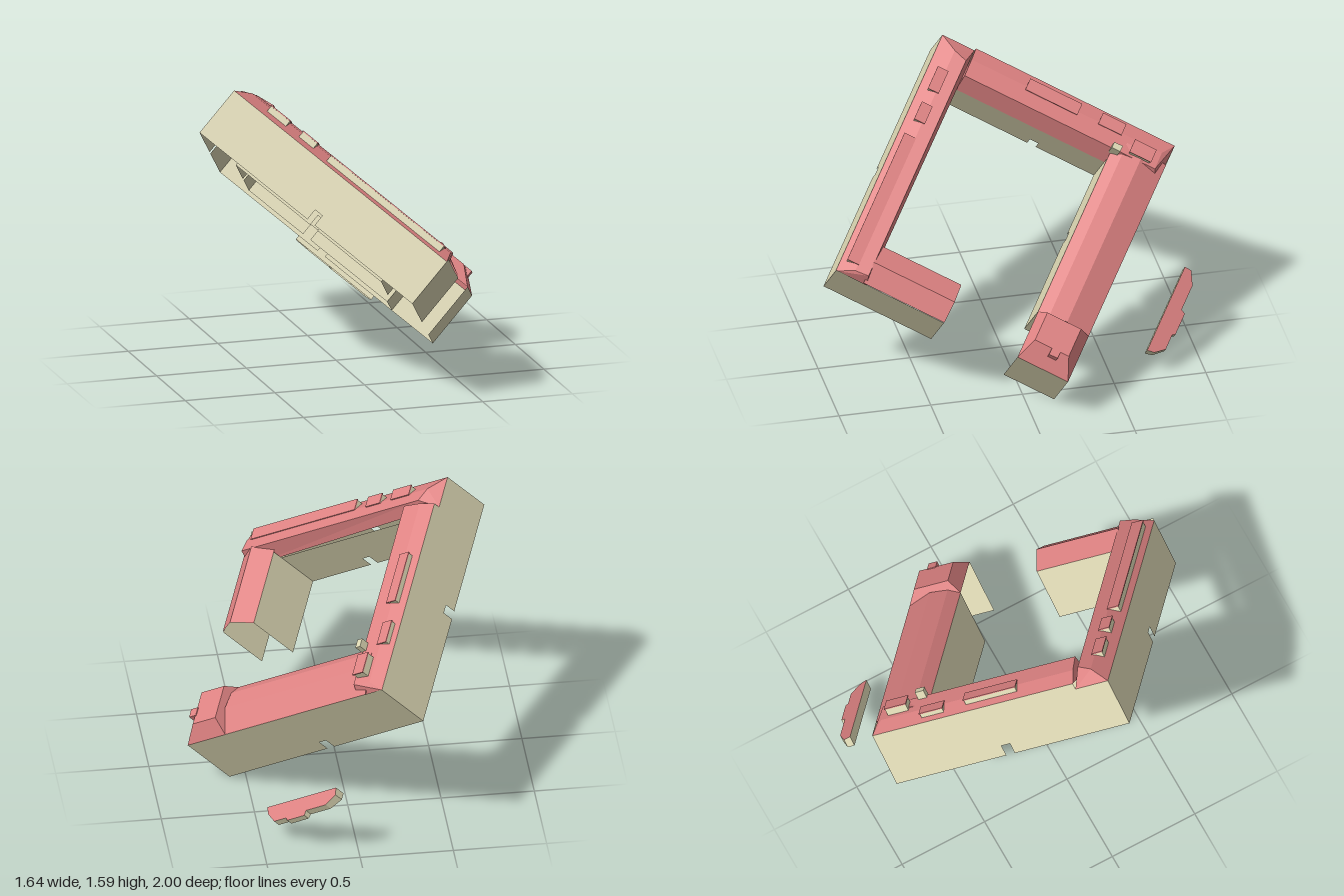
import * as THREE from 'three';

const wallMat = new THREE.MeshStandardMaterial({ color: 0xdcd7b3, side: THREE.DoubleSide });
wallMat.name = 'cream wall';
const roofMat = new THREE.MeshStandardMaterial({ color: 0xdf8383, side: THREE.DoubleSide });
roofMat.name = 'red roof';

// Plan coordinates: a along the front, b towards the back, h up.
const P = (a, h, b) => new THREE.Vector3(a, h, -b);

function addMesh(group, name, geometry, material) {
  geometry.computeVertexNormals();
  const mesh = new THREE.Mesh(geometry, material);
  mesh.name = name;
  group.add(mesh);
  return mesh;
}

// Flat polygons, each a convex list of points, split into fans
function faces(group, name, polys, material) {
  const pts = [];
  for (const p of polys)
    for (let i = 1; i < p.length - 1; i++) pts.push(p[0], p[i], p[i + 1]);
  return addMesh(group, name, new THREE.BufferGeometry().setFromPoints(pts), material);
}

// Roof skin between two matching profiles, with optional gable ends
function roof(group, name, start, end, gables = [true, true]) {
  const polys = [];
  for (let i = 0; i < start.length - 1; i++) polys.push([start[i], start[i + 1], end[i + 1], end[i]]);
  if (gables[0]) polys.push([...start].reverse());
  if (gables[1]) polys.push(end);
  return faces(group, name, polys, roofMat);
}

// Upright wall from one plan point to another, with an optional passage cut into its foot
function wall(group, name, [a0, b0], [a1, b1], top, gate) {
  const length = Math.hypot(a1 - a0, b1 - b0);
  const s = new THREE.Shape().moveTo(0, 0);
  if (gate !== undefined) {
    s.lineTo(gate - 0.025, 0).lineTo(gate - 0.025, 0.065);
    s.lineTo(gate + 0.025, 0.065).lineTo(gate + 0.025, 0);
  }
  s.lineTo(length, 0).lineTo(length, top).lineTo(0, top);
  const g = new THREE.ShapeGeometry(s);
  const pos = g.attributes.position;
  for (let i = 0; i < pos.count; i++) {
    const t = pos.getX(i) / length;
    const p = P(a0 + (a1 - a0) * t, pos.getY(i), b0 + (b1 - b0) * t);
    pos.setXYZ(i, p.x, p.y, p.z);
  }
  return addMesh(group, name, g, wallMat);
}

function block(group, name, [a0, a1], [h0, h1], [b0, b1], material) {
  const mesh = addMesh(group, name, new THREE.BoxGeometry(a1 - a0, h1 - h0, b1 - b0), material);
  mesh.position.copy(P((a0 + a1) / 2, (h0 + h1) / 2, (b0 + b1) / 2));
  return mesh;
}

export function createModel() {
  const model = new THREE.Group();
  model.name = 'courtyardBlock';
  const g = new THREE.Group();
  g.name = 'tiltedBlock';
  model.add(g);

  const L = 1.47, D = 1.37;          // overall plan size
  const fw = 0.19, lw = 0.23;        // front and left wing depth
  const sw = 1.235, se = 0.64;       // short wing inner side and end
  const bw = 1.07, ea = 1.186;       // back wing inner side, end house start

  // Outer walls
  wall(g, 'frontWall', [0, 0], [L, 0], 0.29, 0.77);
  wall(g, 'leftWallFrontPart', [0, 0], [0, fw], 0.29);
  wall(g, 'leftWall', [0, fw], [0, D], 0.327, 0.7 - fw);
  wall(g, 'backWall', [0, D], [L, D], 0.33, 0.7);
  wall(g, 'endHouseWall', [L, bw], [L, D], 0.33);
  wall(g, 'shortWingWall', [L, 0], [L, se], 0.305);

  // Courtyard walls
  wall(g, 'frontCourtWall', [lw, fw], [sw, fw], 0.25, 0.77 - lw);
  wall(g, 'leftCourtWall', [lw, fw], [lw, bw], 0.25, 0.7 - fw);
  wall(g, 'backCourtWall', [lw, bw], [ea, bw], 0.33, 0.4);
  wall(g, 'shortWingCourtWall', [sw, fw], [sw, se], 0.31);
  wall(g, 'partyWall', [ea, bw], [ea, D], 0.33);

  // Front wing roof, hipped at the left corner
  roof(g, 'frontRoof',
    [P(0, 0.29, 0), P(0.07, 0.345, 0.09), P(0.1, 0.36, 0.165), P(0, 0.29, fw)],
    [P(L, 0.29, 0), P(L - 0.03, 0.345, 0.09), P(L - 0.03, 0.36, 0.165), P(L, 0.25, fw)]);

  // Left wing roof, steep on the courtyard side
  const left = (b, db) => [P(0, 0.327, b), P(0.08, 0.36, b - db), P(0.185, 0.375, b - db), P(lw, 0.25, b)];
  roof(g, 'leftRoof', left(fw, 0), left(D, 0.05));

  // Short wing roof, a plain low gable
  const short = b => [P(sw, 0.31, b), P(1.36, 0.367, b), P(L, 0.31, b)];
  roof(g, 'shortWingRoof', short(0.16), short(se), [true, false]);

  // Back wing roof with a bent slope
  const back = a => [P(a, 0.33, bw), P(a, 0.367, 1.13), P(a, 0.38, 1.23), P(a, 0.33, D)];
  roof(g, 'backRoof', back(0.12), back(ea));

  // End house roof: steep sides and a flat top
  const ring = (a0, a1, b0, b1, h) => [P(a0, h, b0), P(a1, h, b0), P(a1, h, b1), P(a0, h, b1)];
  const low = ring(ea, L, bw, D, 0.33), high = ring(1.2, 1.37, 1.11, 1.31, 0.415);
  const slopes = low.map((p, i) => [p, low[(i + 1) % 4], high[(i + 1) % 4], high[i]]);
  faces(g, 'endHouseRoof', [...slopes, high], roofMat);
  block(g, 'endHouseVent', [1.36, 1.41], [0.36, 0.42], [1.21, 1.26], roofMat);

  // Dormers and low roof lights
  const dormers = [
    ['frontDormer', [0.2, 0.33], [0.3, 0.352], [0.045, 0.1]],
    ['frontDormer', [0.42, 0.52], [0.3, 0.352], [0.045, 0.1]],
    ['frontDormer', [0.62, 1.4], [0.3, 0.345], [0.03, 0.09]],
    ['leftDormer', [0.04, 0.1], [0.33, 0.372], [0.52, 0.82]],
    ['leftDormer', [0.03, 0.09], [0.33, 0.365], [0.95, 1.08]],
    ['cornerDormer', [0.1, 0.17], [0.35, 0.405], [1.16, 1.28]],
  ];
  for (const [name, a, h, b] of dormers) {
    block(g, name, a, h, b, wallMat);
    block(g, name + 'Roof', [a[0] - 0.004, a[1] + 0.004], [h[1], h[1] + 0.006], [b[0] - 0.004, b[1] + 0.004], roofMat);
  }
  block(g, 'chimney', [0.165, 0.2], [0.33, 0.42], [1.06, 1.11], wallMat);

  // Detached low shed with a stepped outer edge and a sloping roof
  const plan = [[0.49, 1.71], [1.01, 1.71], [1.0, 1.75], [0.95, 1.8], [0.86, 1.8], [0.85, 1.815],
    [0.72, 1.815], [0.71, 1.79], [0.56, 1.79], [0.49, 1.75]];
  const shedTop = b => 0.06 - (b - 1.71) * 0.25;
  const shedRoof = new THREE.ShapeGeometry(new THREE.Shape(plan.map(p => new THREE.Vector2(...p))));
  const pos = shedRoof.attributes.position;
  for (let i = 0; i < pos.count; i++) {
    const b = pos.getY(i);
    pos.setXYZ(i, pos.getX(i), shedTop(b), -b);
  }
  addMesh(g, 'shedRoof', shedRoof, roofMat);
  faces(g, 'shedWalls', plan.map(([a, b], i) => {
    const [c, d] = plan[(i + 1) % plan.length];
    return [P(a, 0, b), P(c, 0, d), P(c, shedTop(d), d), P(a, shedTop(b), b)];
  }), wallMat);

  // Tilt the whole block into place
  const u = new THREE.Vector3(0.635, -0.551, 0.541).normalize();
  const v = new THREE.Vector3(0.354, -0.423, -0.836);
  const n = u.clone().cross(v).normalize();
  const w = u.clone().cross(n);
  g.quaternion.setFromRotationMatrix(new THREE.Matrix4().makeBasis(u, n, w));
  g.position.set(-0.825, 1.39, 0.2);
  return model;
}
